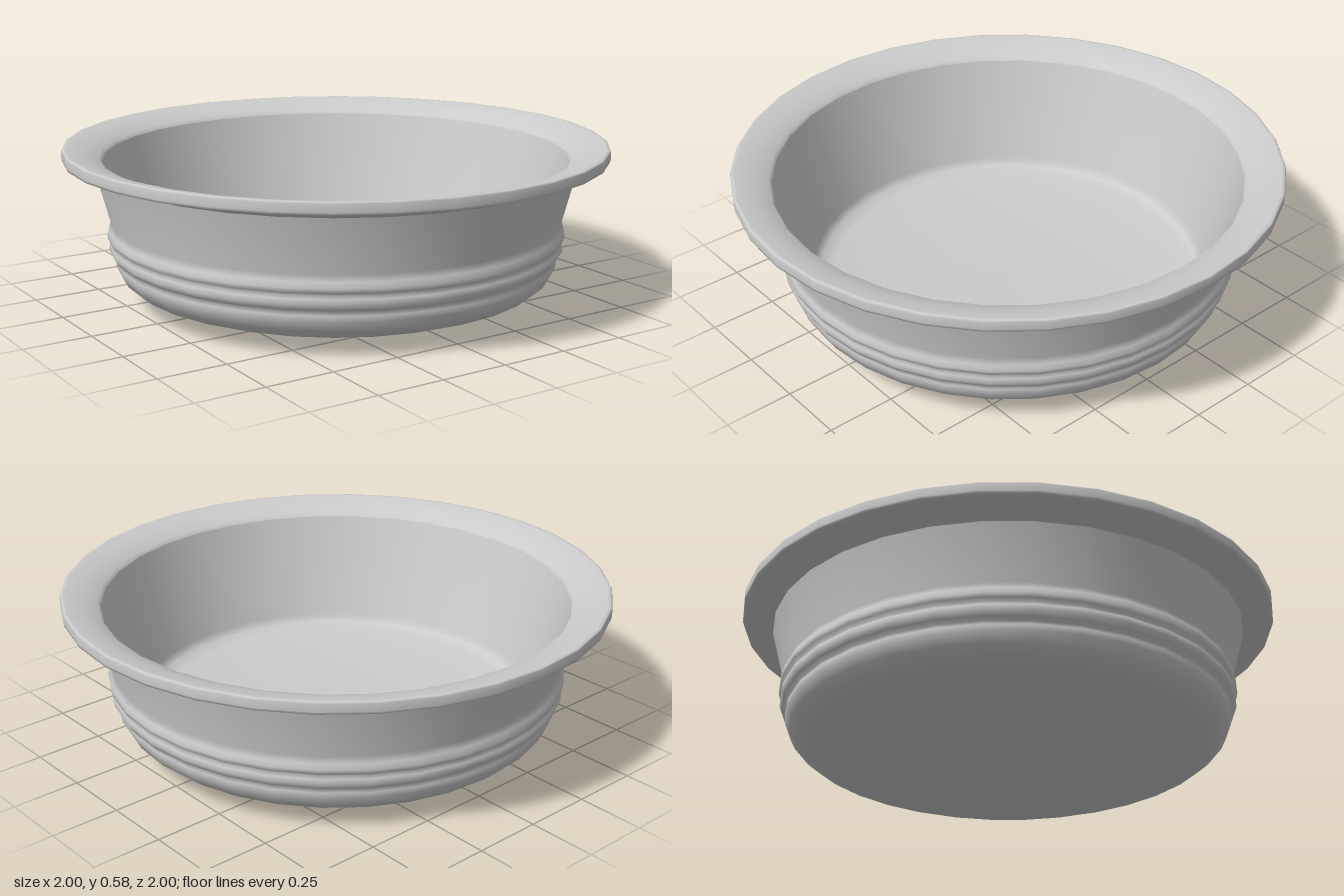
import * as THREE from 'three';

const SIDES = 32;

// Revolve a list of [radius, height] points around the y axis
function revolve(name, points, material) {
  const profile = points.map(([r, y]) => new THREE.Vector2(r, y));
  const mesh = new THREE.Mesh(new THREE.LatheGeometry(profile, SIDES), material);
  mesh.name = name;
  return mesh;
}

export function createModel() {
  const group = new THREE.Group();
  group.name = 'dish';
  const material = new THREE.MeshStandardMaterial({ color: 0xcccccc });

  // Gently domed underside, rounded foot, shallow beads and tapered outer wall
  const outer = [
    [0, 0.004], [0.25, 0.007], [0.45, 0.016], [0.6, 0.03], [0.7, 0.05],
    [0.765, 0.075], [0.8, 0.105], [0.818, 0.14], [0.819, 0.162],
    [0.814, 0.176], [0.832, 0.186], [0.842, 0.205], [0.84, 0.224],
    [0.832, 0.236], [0.845, 0.246], [0.848, 0.262], [0.842, 0.282],
    [0.833, 0.305], [0.885, 0.505],
  ];

  // Flared flange: sloped underside, upright edge and top falling inward
  const rim = [
    [0.885, 0.505], [0.895, 0.511], [0.985, 0.537], [0.998, 0.541], [1, 0.55],
    [1, 0.577], [0.996, 0.583], [0.985, 0.584], [0.925, 0.57], [0.868, 0.546], [0.857, 0.532],
  ];

  // Tapered inner wall running into a dished floor
  const inner = [
    [0.857, 0.532], [0.735, 0.14], [0.715, 0.112], [0.67, 0.1],
    [0.5, 0.082], [0.25, 0.071], [0, 0.068],
  ];

  group.add(
    revolve('outerWall', outer, material),
    revolve('rim', rim, material),
    revolve('innerBowl', inner, material),
  );
  return group;
}
